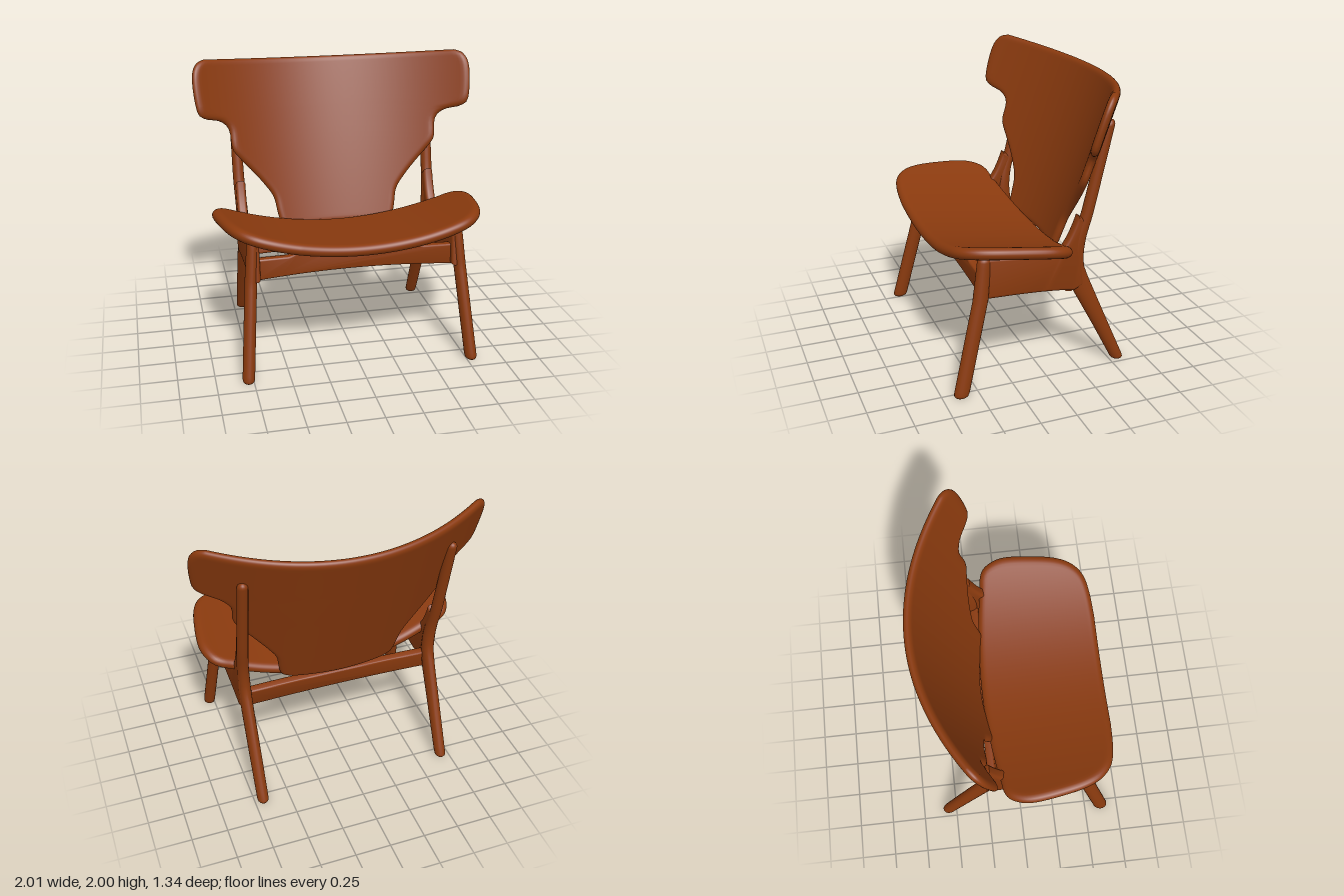
import * as THREE from 'three';
import { mergeVertices, toCreasedNormals } from 'three/addons/utils/BufferGeometryUtils.js';

const V2 = (a) => a.map(([x, y]) => new THREE.Vector2(x, y));

// Merge shared points and give smooth normals
function smooth(geo) {
  geo.deleteAttribute('normal');
  geo.deleteAttribute('uv');
  const g = mergeVertices(geo, 1e-5);
  g.computeVertexNormals();
  return g;
}

// Bent board with rounded rim: half outline (x, v), placed in space by place(x, v)
function bentBoard(half, place, thick, rim) {
  const curve = new THREE.SplineCurve(V2(half));
  const R = 64, C = 48;
  const rows = [];
  for (let i = 0; i <= R; i++) rows.push(curve.getPointAt(0.5 - 0.5 * Math.cos(Math.PI * i / R)));
  const loop = [...rows, ...rows.map((p) => new THREE.Vector2(-p.x, p.y)).reverse()];
  const edgeDistance = (x, y) => {
    let best = Infinity;
    loop.forEach((a, i) => {
      const b = loop[(i + 1) % loop.length];
      const dx = b.x - a.x, dy = b.y - a.y;
      const t = THREE.MathUtils.clamp(((x - a.x) * dx + (y - a.y) * dy) / (dx * dx + dy * dy || 1), 0, 1);
      best = Math.min(best, Math.hypot(x - a.x - t * dx, y - a.y - t * dy));
    });
    return best;
  };
  const pos = [], idx = [], W = C + 1, layer = (R + 1) * W;
  for (const side of [1, -1]) {
    for (const p of rows) {
      for (let j = 0; j <= C; j++) {
        const x = p.x * Math.sin(Math.PI / 2 * (2 * j / C - 1));
        const d = Math.min(edgeDistance(x, p.y) / rim, 1);
        const h = thick / 2 * Math.sqrt(Math.max(0, 1 - (1 - d) ** 2));
        const o = place(x, p.y);
        const n = place(x + 1e-3, p.y).sub(o).cross(place(x, p.y + 1e-3).sub(o)).normalize();
        o.addScaledVector(n, side * h);
        pos.push(o.x, o.y, o.z);
      }
    }
  }
  for (let i = 0; i < R; i++) {
    for (let j = 0; j < C; j++) {
      const a = i * W + j, b = a + 1, c = b + W, d = a + W;
      idx.push(a, b, c, a, c, d);
      idx.push(a + layer, c + layer, b + layer, a + layer, d + layer, c + layer);
    }
  }
  const g = new THREE.BufferGeometry();
  g.setAttribute('position', new THREE.Float32BufferAttribute(pos, 3));
  g.setIndex(idx);
  return smooth(g);
}

// Round limb through stations [y, x, z, radiusX, radiusZ], ends rounded over
function limb(stations, side, topRound) {
  const y0 = stations[0][0], y1 = stations[stations.length - 1][0];
  const at = (y) => {
    let i = 0;
    while (i < stations.length - 2 && y > stations[i + 1][0]) i++;
    const a = stations[i], b = stations[i + 1], t = (y - a[0]) / (b[0] - a[0]);
    return a.map((v, k) => v + (b[k] - v) * t);
  };
  const profile = [[0, y0], [0.75, y0], [0.93, y0 + 0.008], [1, y0 + 0.025]];
  for (let i = 1; i < 30; i++) profile.push([1, y0 + 0.025 + (y1 - topRound - y0 - 0.025) * i / 30]);
  for (let i = 0; i <= 6; i++) {
    const a = Math.PI / 2 * i / 6;
    profile.push([i === 6 ? 0 : Math.cos(a), y1 - topRound * (1 - Math.sin(a))]);
  }
  const g = new THREE.LatheGeometry(V2(profile), 20);
  const p = g.attributes.position;
  for (let i = 0; i < p.count; i++) {
    const [, x, z, rx, rz] = at(p.getY(i));
    p.setXYZ(i, side * x + p.getX(i) * rx, p.getY(i), z + p.getZ(i) * rz);
  }
  return smooth(g);
}

// Flat board with softened edges, centred on its thickness
function board(shape, thick, bevel) {
  const g = new THREE.ExtrudeGeometry(shape, {
    depth: thick - 2 * bevel, bevelEnabled: true, bevelThickness: bevel,
    bevelSize: bevel, bevelOffset: -bevel, bevelSegments: 3, curveSegments: 16,
  });
  g.translate(0, 0, -(thick - 2 * bevel) / 2);
  return toCreasedNormals(g, 0.7);
}

export function createModel() {
  const group = new THREE.Group();
  const wood = new THREE.MeshStandardMaterial({ color: 0x8a3a0e });
  wood.name = 'warmWood';
  const add = (name, geo) => {
    const m = new THREE.Mesh(geo, wood);
    m.name = name;
    group.add(m);
    return m;
  };

  // Seat: curves up to both sides, dips to the back (v is -z)
  add('seat', bentBoard(
    [[0.42, -0.67], [0.6, -0.655], [0.73, -0.62], [0.82, -0.54], [0.875, -0.42], [0.91, -0.25],
      [0.93, -0.08], [0.92, 0.02], [0.88, 0.1], [0.82, 0.135], [0.74, 0.145]],
    (x, v) => {
      const bow = 0.065 * (1 - (x / 0.75) ** 2) * THREE.MathUtils.smoothstep(v, -0.25, 0.145);
      const z = -v - (Math.abs(x) < 0.75 ? bow : 0);
      return new THREE.Vector3(x, 0.885 + 0.23 * x * x + 0.14 * (z - 0.6), z);
    }, 0.08, 0.045));

  // Backrest: winged shell, raked and wrapped around the sitter
  add('backrest', bentBoard(
    [[0.34, 0.77], [0.41, 0.8], [0.435, 0.88], [0.46, 1.0], [0.525, 1.1], [0.605, 1.2], [0.69, 1.3],
      [0.74, 1.37], [0.75, 1.44], [0.755, 1.5], [0.785, 1.55], [0.84, 1.585], [0.91, 1.605],
      [0.965, 1.64], [0.985, 1.7], [0.998, 1.82], [0.995, 1.92], [0.965, 1.98], [0.91, 2.0]],
    (x, v) => {
      const y = v - 0.065 * Math.max(0, 1 - (x / 0.92) ** 2) * THREE.MathUtils.smoothstep(v, 1.5, 2);
      return new THREE.Vector3(x, y, -0.235 - 0.355 * (y - 0.77) + 0.38 * x * x);
    }, 0.056, 0.035));

  // Side frames
  const panel = new THREE.Shape();
  panel.moveTo(0.5, 0.66);
  panel.lineTo(0.46, 0.93);
  panel.lineTo(0.4, 0.935);
  panel.lineTo(-0.08, 0.89);
  panel.quadraticCurveTo(-0.16, 0.96, -0.22, 1.14);
  panel.lineTo(-0.28, 1.1);
  panel.lineTo(-0.25, 0.78);
  panel.lineTo(-0.27, 0.64);
  panel.lineTo(-0.2, 0.605);
  panel.quadraticCurveTo(-0.02, 0.64, 0.4, 0.65);
  for (const side of [1, -1]) {
    const label = side > 0 ? 'left' : 'right';
    add(label + 'FrontLeg', limb([
      [0, 0.785, 0.625, 0.042, 0.052], [0.65, 0.73, 0.465, 0.042, 0.052], [0.95, 0.705, 0.425, 0.038, 0.045],
    ], side, 0.035));
    add(label + 'BackLegAndUpright', limb([
      [0, 0.69, -0.563, 0.04, 0.045], [0.3, 0.69, -0.42, 0.042, 0.057], [0.6, 0.69, -0.275, 0.042, 0.073],
      [0.68, 0.69, -0.245, 0.042, 0.068], [0.78, 0.69, -0.22, 0.042, 0.055], [0.9, 0.695, -0.225, 0.042, 0.05],
      [1.0, 0.7, -0.245, 0.04, 0.046], [1.13, 0.705, -0.285, 0.04, 0.041], [1.77, 0.71, -0.43, 0.036, 0.037],
    ], side, 0.04));
    const p = add(label + 'SidePanel', board(panel, 0.07, 0.02).rotateY(-Math.PI / 2));
    p.position.x = side * 0.7;
  }

  // Front rail: arched below, with two raised seat supports
  const front = new THREE.Shape();
  front.moveTo(-0.7, 0.65);
  front.quadraticCurveTo(0, 0.72, 0.7, 0.65);
  front.lineTo(0.7, 0.8);
  front.lineTo(0.47, 0.805);
  front.quadraticCurveTo(0.42, 0.815, 0.39, 0.86);
  front.lineTo(0.32, 0.855);
  front.quadraticCurveTo(0.3, 0.81, 0.24, 0.8);
  front.lineTo(-0.24, 0.8);
  front.quadraticCurveTo(-0.3, 0.81, -0.32, 0.855);
  front.lineTo(-0.39, 0.86);
  front.quadraticCurveTo(-0.42, 0.815, -0.47, 0.805);
  front.lineTo(-0.7, 0.8);
  add('frontRail', board(front, 0.06, 0.012)).position.z = 0.42;

  // Back rail, leaning with the backrest
  const back = new THREE.Shape();
  back.moveTo(-0.69, -0.075);
  back.quadraticCurveTo(0, -0.04, 0.69, -0.075);
  back.lineTo(0.69, 0.075);
  back.quadraticCurveTo(0, 0.1, -0.69, 0.075);
  const rail = add('backRail', board(back, 0.06, 0.012));
  rail.position.set(0, 0.66, -0.19);
  rail.rotation.x = -0.2;

  return group;
}
